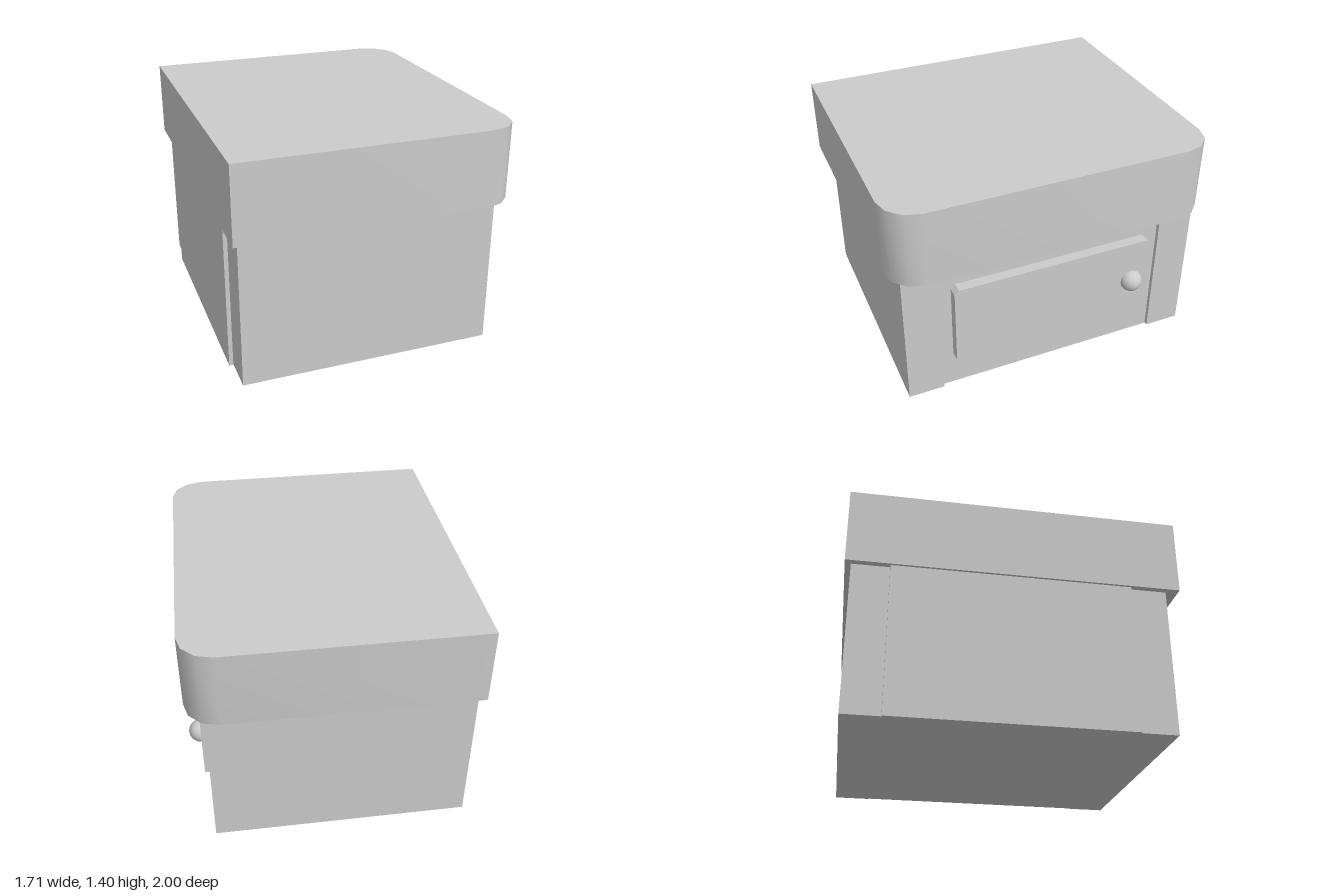
import * as THREE from 'three';
import { toCreasedNormals } from 'three/addons/utils/BufferGeometryUtils.js';

const material = new THREE.MeshStandardMaterial({ color: 0xcccccc });

export function createModel() {
  const group = new THREE.Group();

  const add = (name, geometry) => {
    const mesh = new THREE.Mesh(geometry, material);
    mesh.name = name;
    group.add(mesh);
    return mesh;
  };

  // Box given by its minimum and maximum corners
  const box = (name, [x0, y0, z0], [x1, y1, z1]) =>
    add(name, new THREE.BoxGeometry(x1 - x0, y1 - y0, z1 - z0))
      .position.set((x0 + x1) / 2, (y0 + y1) / 2, (z0 + z1) / 2);

  // Cabinet: two side slabs, with the core set back behind the drawer
  box('core', [-0.84, 0, -0.74], [0.715, 0.93, 0.7]);
  box('frontSlab', [-0.815, 0.005, 0.7], [0.74, 0.93, 0.925]);
  box('backSlab', [-0.815, 0.005, -0.965], [0.74, 0.93, -0.74]);

  // Thick top with two rounded corners on the drawer side
  const X = 0.855, Z = 1, R = 0.2;
  const outline = [new THREE.Vector2(-X, -Z)];
  for (const side of [-1, 1]) {
    for (let i = 0; i <= 3; i++) {
      const a = (side < 0 ? i - 3 : i) * Math.PI / 6;
      outline.push(new THREE.Vector2(X - R + R * Math.cos(a), side * (Z - R) + R * Math.sin(a)));
    }
  }
  outline.push(new THREE.Vector2(-X, Z));
  const top = new THREE.ExtrudeGeometry(new THREE.Shape(outline), { depth: 0.47, bevelEnabled: false });
  top.rotateX(-Math.PI / 2).translate(0, 0.93, 0);
  add('top', toCreasedNormals(top, 0.6));

  // Drawer front with clipped corners
  const w = 0.645, h = 0.278, c = 0.028;
  const panel = new THREE.Shape([
    [-w + c, -h], [w - c, -h], [w, -h + c], [w, h - c],
    [w - c, h], [-w + c, h], [-w, h - c], [-w, -h + c],
  ].map(([x, y]) => new THREE.Vector2(x, y)));
  const drawer = new THREE.ExtrudeGeometry(panel, { depth: 0.065, bevelEnabled: false });
  drawer.rotateY(Math.PI / 2).translate(0.715, 0.487, -0.02);
  add('drawerFront', drawer);

  // Round knob near the end of the drawer
  add('knob', new THREE.SphereGeometry(0.07, 32, 20)).position.set(0.784, 0.485, -0.545);

  return group;
}
